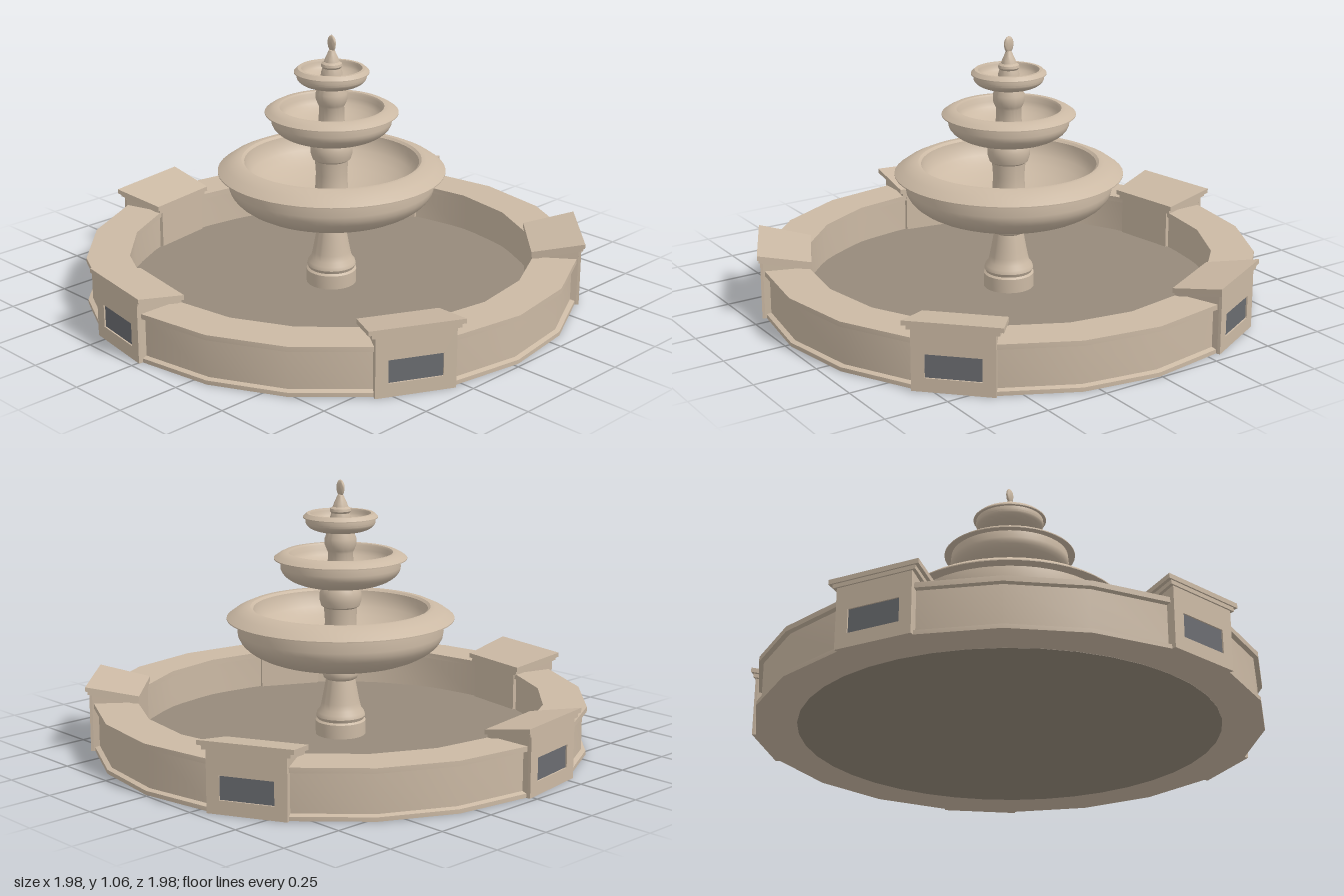
import * as THREE from 'three';
import { toCreasedNormals } from 'three/addons/utils/BufferGeometryUtils.js';

const stone = new THREE.MeshStandardMaterial({ color: 0xcbb9a4, side: THREE.DoubleSide });
const floorStone = new THREE.MeshStandardMaterial({ color: 0x968a7b });
const slate = new THREE.MeshStandardMaterial({ color: 0x6a6c70 });

function add(parent, name, geometry, material = stone) {
  const mesh = new THREE.Mesh(geometry, material);
  mesh.name = name;
  parent.add(mesh);
  return mesh;
}

// Turned part from [radius, height] pairs
function turned(points, sides = 48, crease = 0.6) {
  const profile = points.map(([r, y]) => new THREE.Vector2(r, y));
  return toCreasedNormals(new THREE.LatheGeometry(profile, sides), crease);
}

// Block with different width, top and bottom at its outer (+z) and inner end
function taperedBlock(outer, inner) {
  const g = new THREE.BoxGeometry(2, 2, 2);
  const p = g.attributes.position;
  for (let i = 0; i < p.count; i++) {
    const e = p.getZ(i) > 0 ? outer : inner;
    p.setXYZ(i, p.getX(i) * e.half, p.getY(i) > 0 ? e.top : e.bottom, e.z);
  }
  g.computeVertexNormals();
  return g;
}

// Bowl with a rounded belly, sloping lip and hollow inside
function bowl({ foot, belly, lip, top, inner, base, lipY, topY }) {
  const pts = [[foot * 0.5, base], [foot, base + 0.002]];
  const h = lipY - base;
  for (let i = 1; i <= 10; i++) {
    const a = (i / 10) * Math.PI / 2;
    pts.push([foot + (belly - foot) * Math.sin(a), base + h * 0.72 * (1 - Math.cos(a))]);
  }
  pts.push([belly * 0.985, lipY], [lip, lipY], [lip, lipY + 0.004]);
  pts.push([lip - (lip - top) * 0.45, lipY + (topY - lipY) * 0.6], [top, topY], [inner * 1.03, topY], [inner, topY - 0.008]);
  const depth = (topY - base) * 0.7;
  for (let i = 1; i <= 8; i++) {
    const a = (i / 8) * Math.PI / 2;
    pts.push([inner * Math.cos(a) + 0.001, topY - 0.008 - depth * Math.sin(a)]);
  }
  return turned(pts);
}

function createPier() {
  const pier = new THREE.Group();
  pier.name = 'pier';
  add(pier, 'pierBody', taperedBlock(
    { half: 0.153, top: 0.24, bottom: 0, z: 0.97 },
    { half: 0.128, top: 0.2, bottom: 0, z: 0.79 }));

  // Face with a window that leaves the plaque slightly recessed
  const face = new THREE.Shape([[-0.153, 0], [0.153, 0], [0.153, 0.24], [-0.153, 0.24]]
    .map(([x, y]) => new THREE.Vector2(x, y)));
  face.holes.push(new THREE.Path([[-0.104, 0.053], [-0.104, 0.143], [0.104, 0.143], [0.104, 0.053]]
    .map(([x, y]) => new THREE.Vector2(x, y))));
  add(pier, 'pierFace', new THREE.ExtrudeGeometry(face, { depth: 0.011, bevelEnabled: false }))
    .position.z = 0.969;
  add(pier, 'plaque', new THREE.BoxGeometry(0.208, 0.09, 0.006), slate).position.set(0, 0.098, 0.971);

  // Sloping cap in two layers
  add(pier, 'capMoulding', taperedBlock(
    { half: 0.168, top: 0.251, bottom: 0.234, z: 0.985 },
    { half: 0.145, top: 0.209, bottom: 0.19, z: 0.788 }));
  add(pier, 'capSlab', taperedBlock(
    { half: 0.183, top: 0.268, bottom: 0.25, z: 0.99 },
    { half: 0.158, top: 0.226, bottom: 0.207, z: 0.784 }));
  return pier;
}

export function createModel() {
  const fountain = new THREE.Group();
  fountain.name = 'fountain';
  fountain.position.set(0.01, 0, -0.02);

  // Twenty-sided pool wall with base moulding and coping
  add(fountain, 'poolWall', turned([
    [0.8, 0], [0.975, 0], [0.975, 0.016], [0.957, 0.022], [0.957, 0.17],
    [0.975, 0.174], [0.975, 0.194], [0.805, 0.194], [0.805, 0.172], [0.815, 0.17],
    [0.815, 0.02], [0.8, 0]], 20));
  add(fountain, 'poolFloor', new THREE.CylinderGeometry(0.81, 0.81, 0.04, 40), floorStone).position.y = 0.019;

  for (let i = 0; i < 5; i++) {
    const pier = createPier();
    pier.rotation.y = -THREE.MathUtils.degToRad(9 + 72 * i);
    fountain.add(pier);
  }

  // Pedestal and the columns between the bowls
  add(fountain, 'pedestal', turned([
    [0.1, 0.035], [0.1, 0.095], [0.092, 0.102], [0.098, 0.115], [0.094, 0.13], [0.082, 0.145],
    [0.076, 0.17], [0.07, 0.2], [0.061, 0.25], [0.058, 0.265], [0.066, 0.27], [0.073, 0.285],
    [0.072, 0.305], [0.065, 0.32], [0.065, 0.35]]));
  add(fountain, 'middleColumn', turned([
    [0.08, 0.38], [0.066, 0.42], [0.062, 0.5], [0.066, 0.555], [0.076, 0.562], [0.083, 0.585],
    [0.083, 0.61], [0.076, 0.635], [0.068, 0.645], [0.068, 0.68]]));
  add(fountain, 'upperColumn', turned([
    [0.062, 0.67], [0.052, 0.7], [0.049, 0.775], [0.054, 0.785], [0.062, 0.805],
    [0.062, 0.83], [0.055, 0.85], [0.05, 0.875]]));

  // Three bowls, growing smaller upward
  add(fountain, 'lowerBowl', bowl({ foot: 0.12, belly: 0.408, lip: 0.45, top: 0.375, inner: 0.345, base: 0.33, lipY: 0.513, topY: 0.56 }));
  add(fountain, 'middleBowl', bowl({ foot: 0.08, belly: 0.237, lip: 0.262, top: 0.225, inner: 0.2, base: 0.642, lipY: 0.75, topY: 0.776 }));
  add(fountain, 'upperBowl', bowl({ foot: 0.05, belly: 0.137, lip: 0.147, top: 0.132, inner: 0.116, base: 0.856, lipY: 0.912, topY: 0.93 }));

  // Finial with a flattened bud
  add(fountain, 'finialBase', turned([
    [0.045, 0.87], [0.042, 0.91], [0.036, 0.93], [0.042, 0.938], [0.04, 0.948], [0.03, 0.955],
    [0.026, 0.968], [0.018, 0.985], [0.012, 1.0], [0.001, 1.003]], 24));
  add(fountain, 'finialBud', turned([
    [0.001, 0.99], [0.011, 0.998], [0.019, 1.012], [0.022, 1.03], [0.019, 1.045],
    [0.011, 1.056], [0.001, 1.061]], 24, 1)).scale.z = 0.4;

  const model = new THREE.Group();
  model.name = 'tieredFountain';
  model.add(fountain);
  return model;
}
